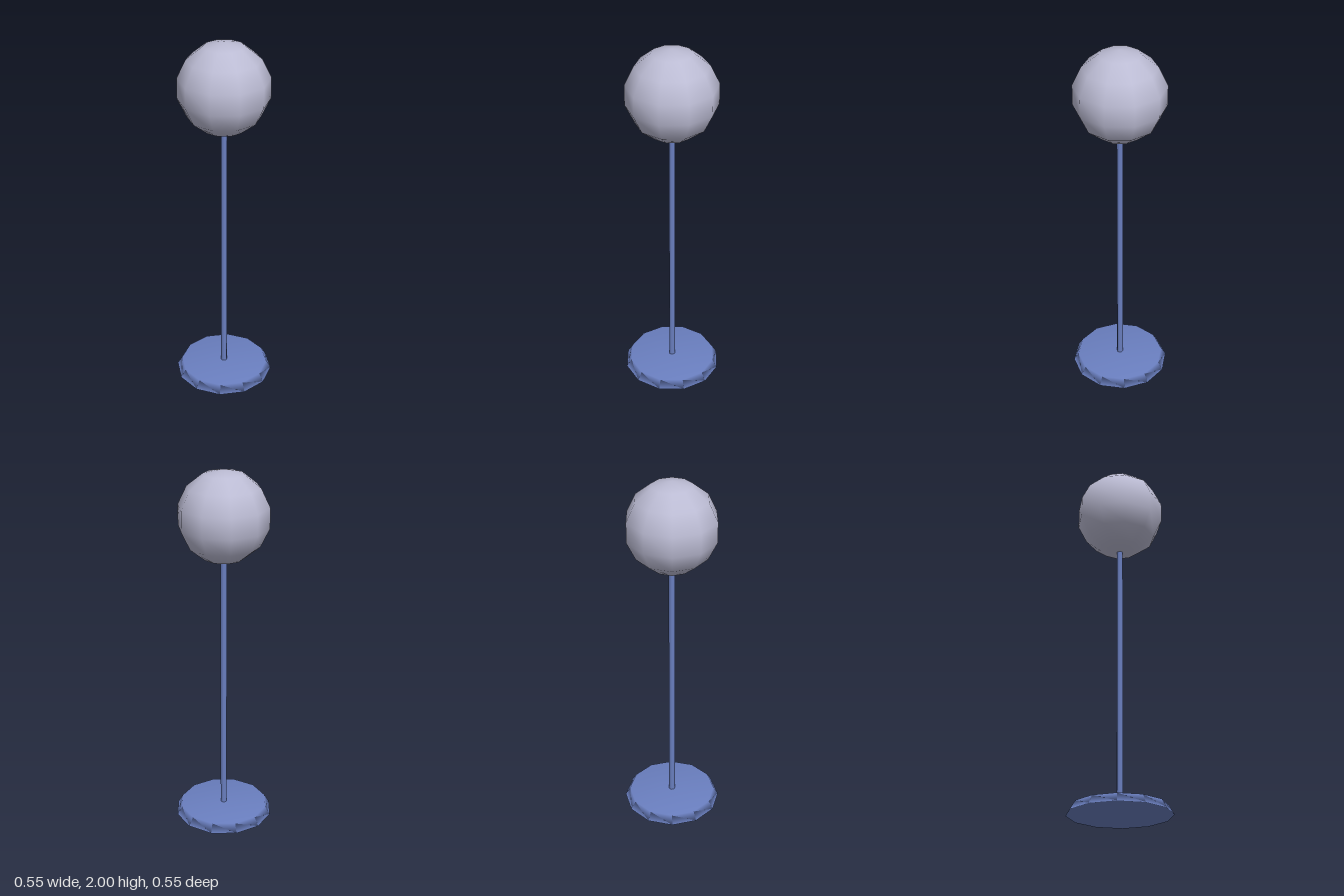
import * as THREE from 'three';

export function createModel() {
  const group = new THREE.Group();
  const blue = new THREE.MeshStandardMaterial({ color: 0x6a7fc0 });
  blue.name = 'blue metal';
  const pale = new THREE.MeshStandardMaterial({ color: 0xbcbcd4 });
  pale.name = 'pale glass';

  const add = (name, geometry, material, y) => {
    const mesh = new THREE.Mesh(geometry, material);
    mesh.name = name;
    mesh.position.y = y;
    group.add(mesh);
  };

  // Twelve-sided foot with a sloping, softly shaded rim
  const profile = [[0, 0], [0.275, 0], [0.247, 0.047], [0, 0.047]]
    .map(([r, y]) => new THREE.Vector2(r, y));
  add('base', new THREE.LatheGeometry(profile, 12), blue, 0);

  // Slim pole running from the foot into the globe
  add('pole', new THREE.CylinderGeometry(0.017, 0.017, 1.49, 8, 1, true), blue, 0.785);

  // Low-poly globe with smooth shading
  add('globe', new THREE.SphereGeometry(0.247, 10, 7), pale, 1.753);

  return group;
}
